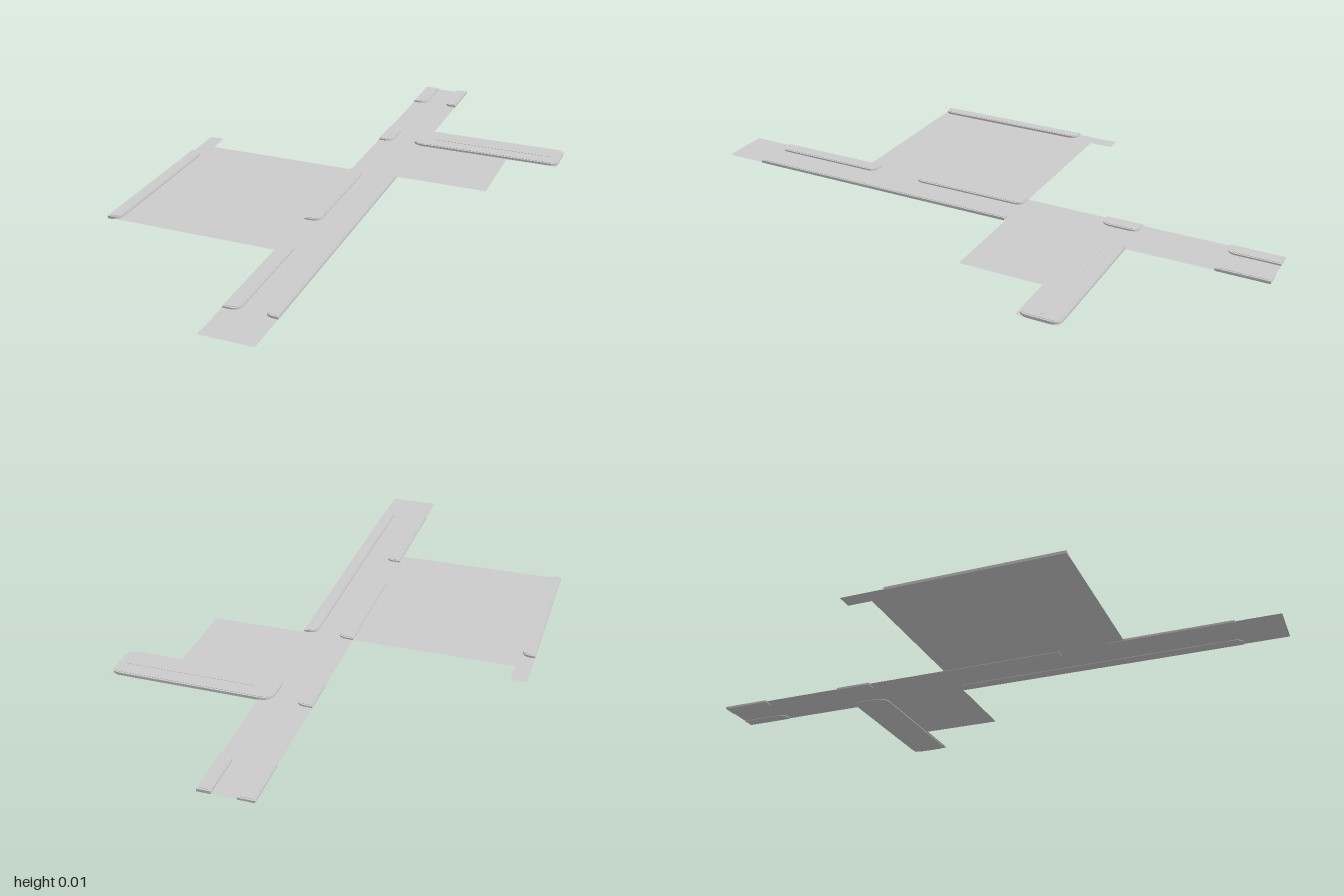
import * as THREE from 'three';

const FLOOR_Y = 0.002;
const material = new THREE.MeshStandardMaterial({ color: 0xcccccc, side: THREE.DoubleSide });

// Rectangle on the ground plane; radii = [back-left x0, back x1, front x1, front x0] corners
function plot(x0, x1, z0, z1, [a, b, c, d]) {
  const s = new THREE.Shape();
  s.moveTo(x0, -(z1 - d));
  s.lineTo(x0, -(z0 + a));
  s.quadraticCurveTo(x0, -z0, x0 + a, -z0);
  s.lineTo(x1 - b, -z0);
  s.quadraticCurveTo(x1, -z0, x1, -(z0 + b));
  s.lineTo(x1, -(z1 - c));
  s.quadraticCurveTo(x1, -z1, x1 - c, -z1);
  s.lineTo(x0 + d, -z1);
  s.quadraticCurveTo(x0, -z1, x0, -(z1 - d));
  return s;
}

function slab(name, shape, y0, y1) {
  const g = new THREE.ExtrudeGeometry(shape, { depth: y1 - y0, bevelEnabled: false, curveSegments: 6 });
  g.rotateX(-Math.PI / 2).translate(0, y0, 0);
  const mesh = new THREE.Mesh(g, material);
  mesh.name = name;
  return mesh;
}

// Raised pavement: a kerb with a slightly higher inset paving slab
function pavement(name, x0, x1, z0, z1, radii, top) {
  const group = new THREE.Group();
  group.name = name;
  const i = 0.006;
  group.add(
    slab('kerb', plot(x0, x1, z0, z1, radii), 0, top - 0.001),
    slab('paving', plot(x0 + i, x1 - i, z0 + i, z1 - i, radii.map((r) => r * 0.7)), top - 0.001, top)
  );
  return group;
}

export function createModel() {
  const model = new THREE.Group();
  model.name = 'streetSection';

  // Flat ground sheet: long road, square lot on one side, stepped lot on the other
  const outline = [
    [-0.04, 1], [0.13, 1], [0.13, -0.13], [0.445, -0.13], [0.445, -0.41], [0.625, -0.41],
    [0.625, -0.545], [0.13, -0.545], [0.13, -1], [-0.04, -1], [-0.04, -0.13], [-0.577, -0.13],
    [-0.577, -0.21], [-0.63, -0.21], [-0.63, 0.5], [-0.04, 0.5],
  ];
  const ground = new THREE.ShapeGeometry(new THREE.Shape(outline.map(([x, z]) => new THREE.Vector2(x, -z))));
  ground.rotateX(-Math.PI / 2).translate(0, FLOOR_Y, 0);
  const floor = new THREE.Mesh(ground, material);
  floor.name = 'ground';
  model.add(floor);

  // Pavements along the road, rounded towards the roadway
  const r = 0.03;
  const leftSide = [0, r, r, 0];
  const rightSide = [r, 0, 0, r];
  [
    ['frontLotPavement', -0.04, 0.012, 0.45, 0.855, leftSide, 0.008],
    ['middleLotPavement', -0.04, 0.012, -0.13, 0.28, leftSide, 0.008],
    ['shortPavement', -0.04, 0.012, -0.54, -0.415, leftSide, 0.008],
    ['backLeftPavement', -0.04, 0.012, -1, -0.83, [0, 0, r, 0], 0.008],
    ['backRightPavement', 0.088, 0.13, -1, -0.83, [0, 0, 0, r], 0.01],
    ['longPavement', 0.088, 0.13, -0.125, 0.855, rightSide, 0.01],
    ['lotEdgePavement', -0.63, -0.587, -0.065, 0.5, leftSide, 0.01],
    ['sideStreetPavement', 0.088, 0.625, -0.545, -0.415, [0.045, r, r, 0.045], 0.01],
  ].forEach((p) => model.add(pavement(...p)));

  // Narrow raised strip down the middle of the side street pavement
  model.add(slab('centreStrip', plot(0.16, 0.6, -0.49, -0.47, [0.01, 0.01, 0.01, 0.01]), 0.01, 0.0108));

  return model;
}
